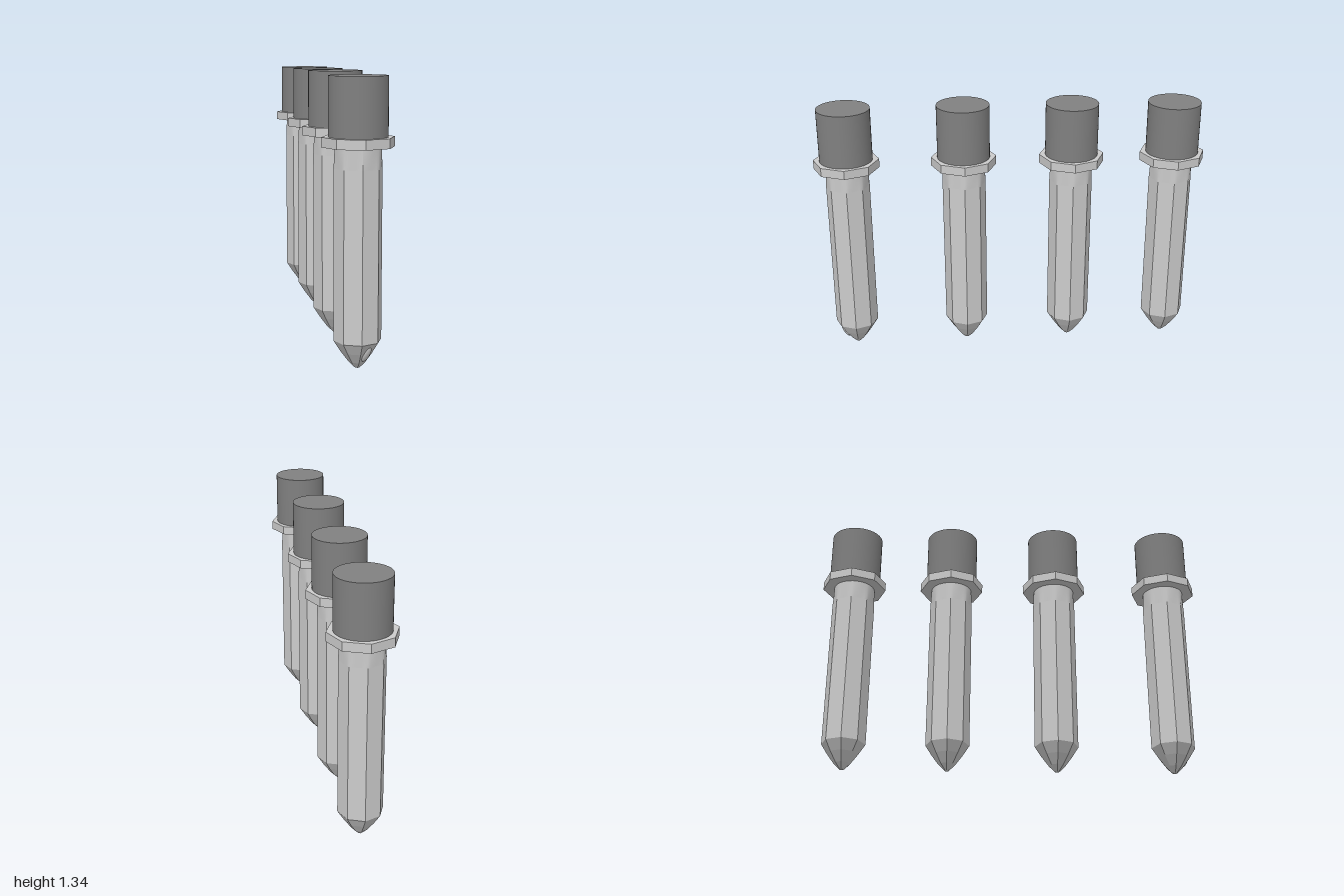
import * as THREE from 'three';

const grey = new THREE.MeshStandardMaterial({ color: 0xcccccc });
const greyFlat = new THREE.MeshStandardMaterial({ color: 0xcccccc, flatShading: true });
const dark = new THREE.MeshStandardMaterial({ color: 0x808080 });

const SIDES = 8;
const BODY_R = 0.111;

function part(name, geometry, material, y = 0) {
  const mesh = new THREE.Mesh(geometry, material);
  mesh.name = name;
  mesh.position.y = y;
  return mesh;
}

// Lathe with eight flat sides, one corner facing +z
function octagonal(points) {
  return new THREE.LatheGeometry(points.map(([r, y]) => new THREE.Vector2(r, y)), SIDES);
}

// Neck: octagon at the bottom blending into a circle at the top
function neckGeometry(bottomR, topR, height) {
  const geo = new THREE.CylinderGeometry(topR, bottomR, height, 48, 4, true);
  const pos = geo.attributes.position;
  const step = (Math.PI * 2) / SIDES;
  for (let i = 0; i < pos.count; i++) {
    const x = pos.getX(i), z = pos.getZ(i);
    const a = (Math.atan2(x, z) + Math.PI * 2) % step;
    const octagon = Math.cos(step / 2) / Math.cos(a - step / 2);
    const t = pos.getY(i) / height + 0.5;
    const k = THREE.MathUtils.lerp(octagon, 1, t);
    pos.setX(i, x * k);
    pos.setZ(i, z * k);
  }
  geo.computeVertexNormals();
  return geo;
}

function createMarker(capTop) {
  const marker = new THREE.Group();
  marker.name = 'marker';

  // Pointed tip with slightly bulging facets
  marker.add(part('tip', octagonal([
    [0, 0], [0.012, 0.004], [0.042, 0.034], [0.078, 0.083], [BODY_R, 0.135],
  ]), greyFlat));

  marker.add(part('body', octagonal([[BODY_R, 0.135], [BODY_R, 0.92]]), greyFlat));
  marker.add(part('neck', neckGeometry(BODY_R, 0.106, 0.1), grey, 0.97));

  // Octagonal collar, closed above and below
  marker.add(part('collar', octagonal([
    [0, 1.015], [0.166, 1.015], [0.166, 1.06], [0, 1.06],
  ]), greyFlat));

  // Round cap
  const capHeight = capTop - 1.055;
  marker.add(part('cap', new THREE.CylinderGeometry(0.134, 0.134, capHeight, 48), dark, 1.055 + capHeight / 2));
  return marker;
}

export function createModel() {
  const group = new THREE.Group();
  group.name = 'markerSet';
  const row = [[0.834, 1.33], [0.24, 1.335], [-0.312, 1.33], [-0.834, 1.325]];
  row.forEach(([z, capTop], i) => {
    const marker = createMarker(capTop);
    marker.name = `marker${i + 1}`;
    marker.position.z = z;
    group.add(marker);
  });

  // Small smooth bump on the front marker's tip
  const bump = part('tipBump', new THREE.SphereGeometry(1, 20, 12), grey, 0.083);
  bump.scale.set(0.018, 0.045, 0.012);
  bump.position.x = 0.03;
  bump.position.z = 0.062;
  bump.rotation.set(0.5, 0.3, -0.3);
  group.children[0].add(bump);
  return group;
}
